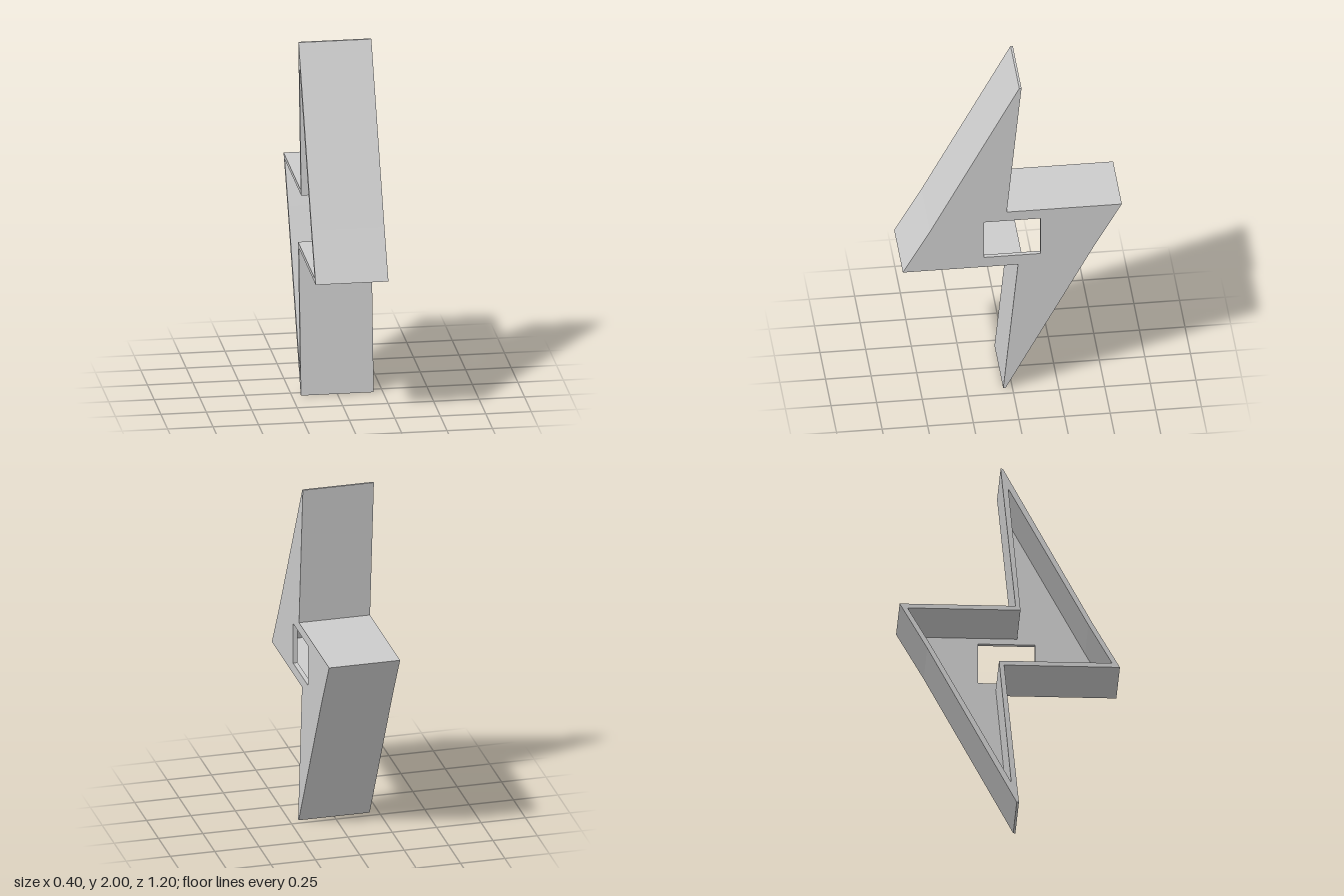
import * as THREE from 'three';

const WIDTH = 0.4;
const WALL = 0.025;

// Half of the zigzag outline, clockwise; the other half is its point reflection about (0, 1)
const withReflection = (half) => [...half, ...half.map(([u, y]) => [-u, 2 - y])];

const outline = withReflection([[-0.6, 0.822], [-0.45, 1.085], [0.038, 2], [0.05, 2], [-0.031, 1.178]]);
const sharpOutline = withReflection([[-0.6, 0.822], [-0.45, 1.085], [0.044, 2], [-0.031, 1.178]]);

// Moves every edge of a clockwise outline inward by t, with mitred corners
function inset(points, t) {
  const v = toVectors(points);
  return v.map((p, i) => {
    const d1 = p.clone().sub(v[(i + v.length - 1) % v.length]).normalize();
    const d2 = v[(i + 1) % v.length].clone().sub(p).normalize();
    const n1 = new THREE.Vector2(d1.y, -d1.x);
    const n2 = new THREE.Vector2(d2.y, -d2.x);
    const m = n1.clone().add(n2).multiplyScalar(t / (1 + n1.dot(n2)));
    return p.clone().add(m);
  });
}

const toVectors = (points) => points.map(([x, y]) => new THREE.Vector2(x, y));

// Extrudes the outline with one counter-clockwise opening along x, from x0 to x1
function slab(name, opening, x0, x1, material) {
  const shape = new THREE.Shape(toVectors(outline));
  shape.holes.push(new THREE.Path(opening));
  const geometry = new THREE.ExtrudeGeometry(shape, { depth: x1 - x0, bevelEnabled: false });
  geometry.rotateY(Math.PI / 2).translate(x0, 0, 0);
  const mesh = new THREE.Mesh(geometry, material);
  mesh.name = name;
  return mesh;
}

export function createModel() {
  const group = new THREE.Group();
  group.name = 'boltShell';
  const grey = new THREE.MeshStandardMaterial({ color: 0xcccccc });
  grey.name = 'lightGrey';

  // Thin rim, open on the -x side; the opening is reversed so its walls face inward
  const face = WIDTH / 2 - WALL;
  group.add(slab('rimWall', inset(sharpOutline, WALL).reverse(), -WIDTH / 2, face, grey));

  // Face plate on the +x side with a rectangular window
  const window = toVectors([[-0.155, 0.885], [0.155, 0.885], [0.155, 1.12], [-0.155, 1.12]]);
  group.add(slab('facePlate', window, face, WIDTH / 2, grey));

  return group;
}
